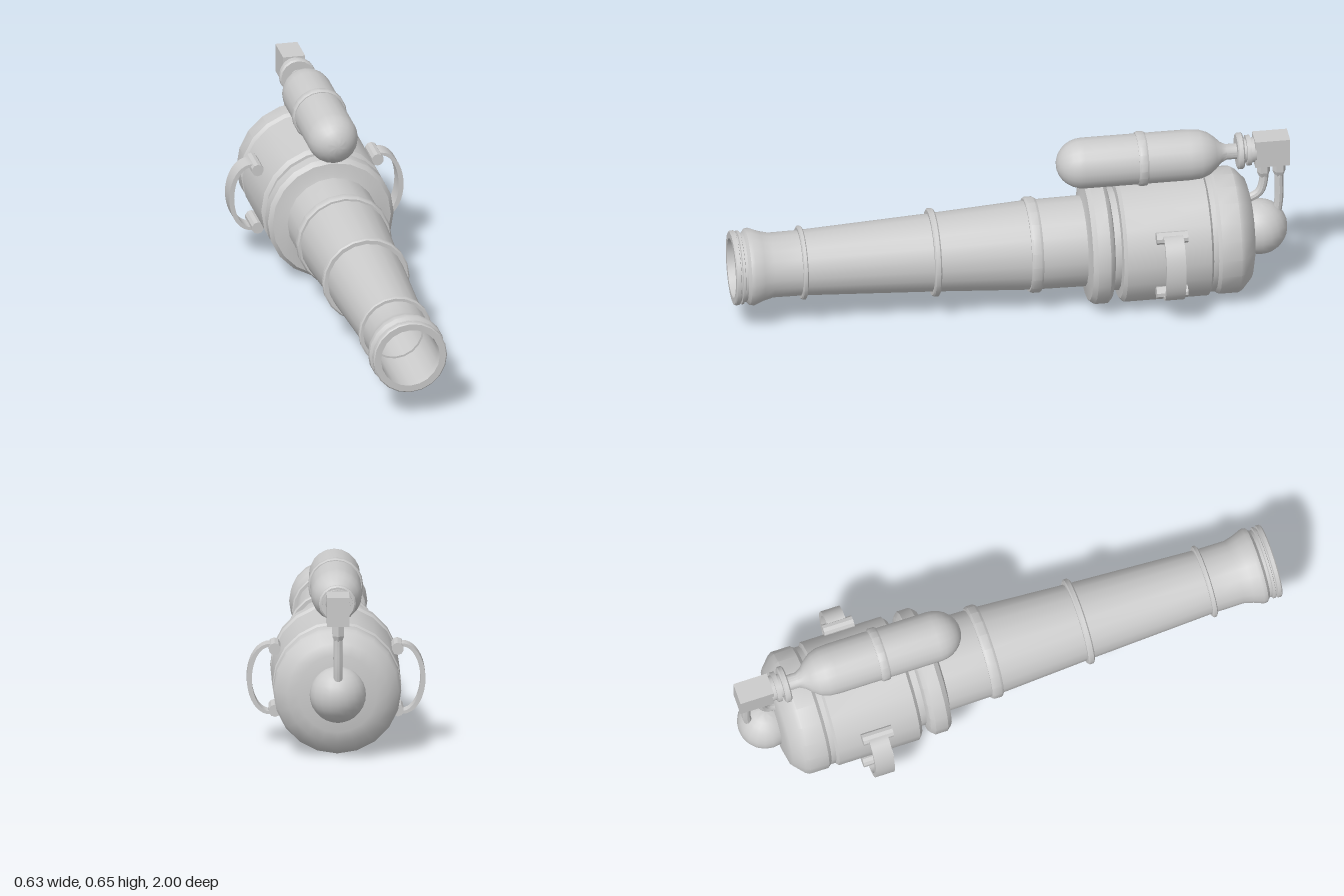
import * as THREE from 'three';
import { toCreasedNormals } from 'three/addons/utils/BufferGeometryUtils.js';

const AXIS_Y = 0.229; // height of the barrel axis
const TANK_Y = 0.548; // height of the tank axis
const material = new THREE.MeshStandardMaterial({ color: 0xcccccc });

export function createModel() {
  const model = new THREE.Group();

  const add = (name, geometry, x = 0, y = 0, z = 0, parent = model) => {
    const mesh = new THREE.Mesh(toCreasedNormals(geometry, 0.6), material);
    mesh.name = name;
    mesh.position.set(x, y, z);
    parent.add(mesh);
    return mesh;
  };

  // Turned part along z; profile is [z, radius] from back to front
  const turned = (name, profile, y, sides = 20) => {
    const points = profile.map(([z, r]) => new THREE.Vector2(r, z));
    return add(name, new THREE.LatheGeometry(points, sides).rotateX(Math.PI / 2), 0, y, 0);
  };

  // Rounded end of a turned profile, from the pole to the rim
  const dome = (zRim, depth, radius, steps = 7) =>
    Array.from({ length: steps + 1 }, (_, i) => {
      const a = (i / steps) * Math.PI / 2;
      return [zRim + depth * Math.cos(a), radius * Math.sin(a)];
    });

  // Breech: rounded cap, groove, drum, neck and front collar
  turned('breech', [
    [-0.87, 0], [-0.866, 0.08], [-0.86, 0.14], [-0.85, 0.18], [-0.815, 0.218],
    [-0.80, 0.227], [-0.73, 0.227], [-0.718, 0.217], [-0.70, 0.217],
    [-0.692, 0.229], [-0.39, 0.229], [-0.378, 0.215], [-0.375, 0.185],
    [-0.352, 0.185], [-0.345, 0.215], [-0.33, 0.229], [-0.285, 0.229],
    [-0.268, 0.215], [-0.262, 0.175], [-0.255, 0.155],
  ], AXIS_Y);

  // Tapering barrel with flared muzzle and hollow bore
  turned('barrel', [
    [-0.27, 0.163], [-0.06, 0.160], [0.28, 0.140], [0.75, 0.117],
    [0.86, 0.116], [0.895, 0.125], [0.93, 0.139], [0.945, 0.137], [0.955, 0.124],
    [0.965, 0.124], [0.967, 0.132], [0.975, 0.132], [0.977, 0.125],
    [0.981, 0.125], [0.983, 0.134], [0.996, 0.134], [1, 0.130],
    [1, 0.107], [0.97, 0.104], [0.5, 0.104],
    ...dome(0.5, -0.09, 0.104).reverse().slice(1),
  ], AXIS_Y);

  // Raised reinforcing rings: [centre z, radius, width]
  for (const [z, r, w] of [[-0.077, 0.172, 0.042], [0.278, 0.158, 0.024], [0.75, 0.132, 0.018]]) {
    const h = w / 2;
    turned('barrelRing', [
      [z - h, r - 0.035], [z - h, r - 0.005], [z - h * 0.6, r],
      [z + h * 0.6, r], [z + h, r - 0.005], [z + h, r - 0.035],
    ], AXIS_Y);
  }

  add('rearKnob', new THREE.SphereGeometry(0.1, 20, 14), 0, 0.232, -0.895);

  // Gas tank with rounded nose, shoulder and neck
  turned('tank', [
    [-0.82, 0.028], [-0.775, 0.028], [-0.755, 0.038], [-0.735, 0.058],
    [-0.71, 0.077], [-0.68, 0.088], [-0.64, 0.091],
    ...dome(-0.262, 0.097, 0.091).reverse(),
  ], TANK_Y);
  turned('tankBand', [
    [-0.487, 0.085], [-0.487, 0.094], [-0.481, 0.098], [-0.459, 0.098],
    [-0.453, 0.094], [-0.453, 0.085],
  ], TANK_Y);

  // Valve coupling and block behind the tank
  turned('valveCoupling', [
    [-0.88, 0.045], [-0.862, 0.045], [-0.862, 0.055], [-0.846, 0.055],
    [-0.846, 0.042], [-0.836, 0.042], [-0.836, 0.060], [-0.831, 0.066],
    [-0.817, 0.066], [-0.812, 0.060], [-0.812, 0.02],
  ], TANK_Y, 16);
  add('valveBlock', new THREE.BoxGeometry(0.08, 0.104, 0.125), 0, TANK_Y, -0.9375);

  // Two pipes leading down from the block, each with a hex fitting
  const pipe = (name, points, fittingZ) => {
    const curve = new THREE.CatmullRomCurve3(points.map(([y, z]) => new THREE.Vector3(0, y, z)));
    add(name, new THREE.TubeGeometry(curve, 14, 0.016, 10));
    add(name + 'Fitting', new THREE.CylinderGeometry(0.024, 0.024, 0.04, 6), 0, 0.478, fittingZ);
    add(name + 'Collar', new THREE.CylinderGeometry(0.024, 0.016, 0.02, 6), 0, 0.448, fittingZ);
  };
  pipe('knobPipe', [[0.51, -0.966], [0.42, -0.966], [0.34, -0.965], [0.27, -0.955]], -0.966);
  pipe('breechPipe', [[0.51, -0.91], [0.42, -0.91], [0.375, -0.895], [0.355, -0.865], [0.35, -0.82]], -0.91);

  // Side handles: a curved strap held by two pins
  for (const side of [1, -1]) {
    const handle = new THREE.Group();
    handle.name = side > 0 ? 'leftHandle' : 'rightHandle';
    const strap = new THREE.Shape();
    strap.absellipse(0, 0, 0.081, 0.127, -Math.PI / 2, Math.PI / 2, false);
    strap.lineTo(-0.02, 0.122);
    strap.lineTo(0, 0.116);
    strap.absellipse(0, 0, 0.063, 0.116, Math.PI / 2, -Math.PI / 2, true);
    strap.lineTo(-0.02, -0.122);
    const geometry = new THREE.ExtrudeGeometry(strap, { depth: 0.07, bevelEnabled: false, curveSegments: 10 });
    add('strap', geometry, 0.236, AXIS_Y + 0.002, -0.585, handle);
    for (const end of [1, -1]) {
      const pin = new THREE.CylinderGeometry(0.022, 0.022, 0.112, 10).rotateX(Math.PI / 2);
      add('pin', pin, 0.218, AXIS_Y + 0.002 + end * 0.111, -0.548, handle);
    }
    if (side < 0) handle.rotation.z = Math.PI;
    if (side < 0) handle.position.y = 2 * (AXIS_Y + 0.002);
    model.add(handle);
  }

  return model;
}
